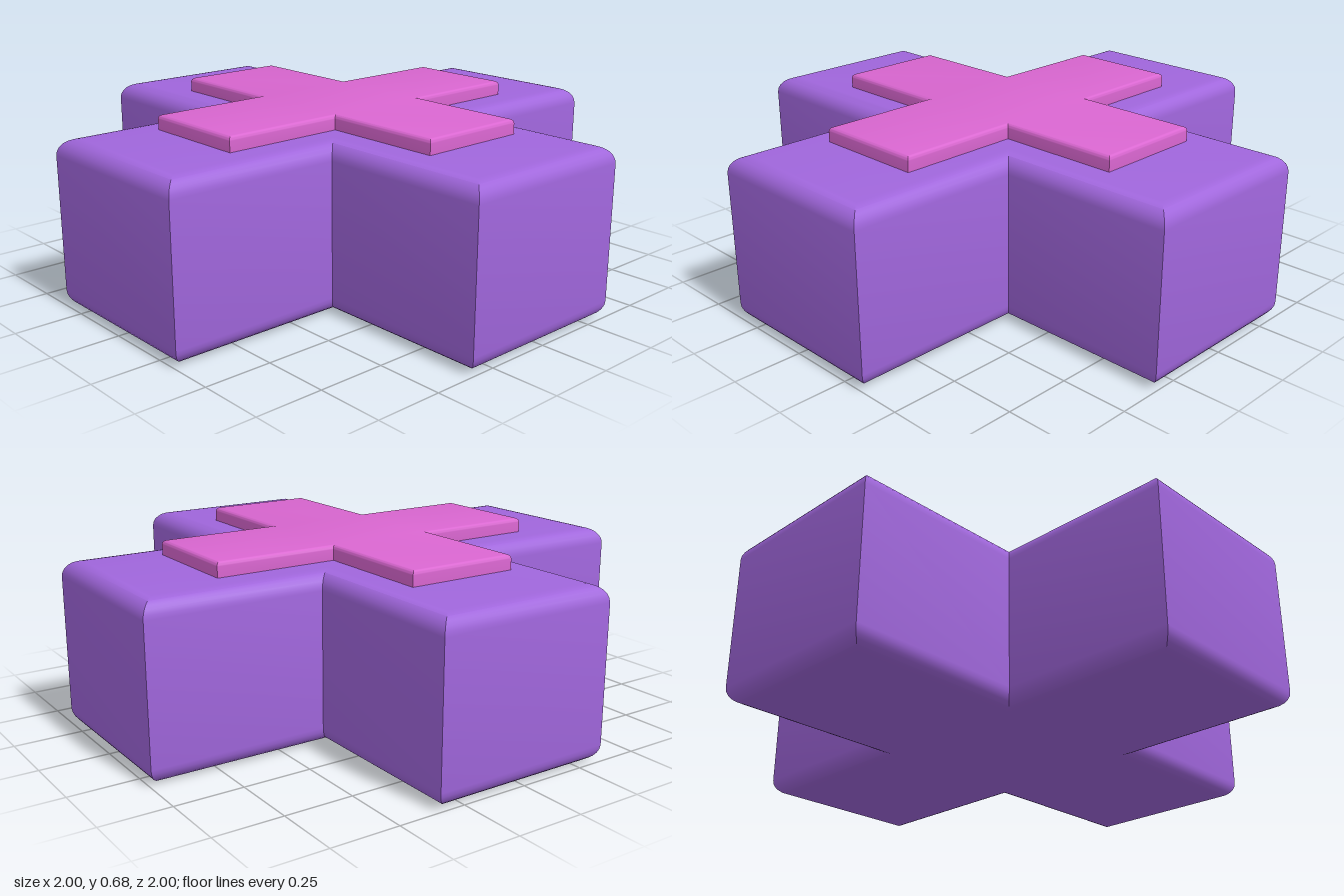
import * as THREE from 'three';
import { toCreasedNormals } from 'three/addons/utils/BufferGeometryUtils.js';

// Plus-shaped slab with rounded top and bottom rims, standing between two heights
function crossSlab(name, reach, half, bottom, top, bevel, color) {
  const quarter = [[reach, -half], [reach, half], [half, half]];
  const points = [];
  for (let i = 0; i < 4; i++) {
    for (const [x, y] of quarter) {
      points.push(new THREE.Vector2(x, y).rotateAround(new THREE.Vector2(), i * Math.PI / 2));
    }
  }
  const geometry = new THREE.ExtrudeGeometry(new THREE.Shape(points), {
    depth: top - bottom - 2 * bevel,
    bevelEnabled: true,
    bevelSize: bevel,
    bevelOffset: -bevel,
    bevelThickness: bevel,
    bevelSegments: 6,
  });
  geometry.rotateX(-Math.PI / 2);
  geometry.translate(0, bottom + bevel, 0);
  const mesh = new THREE.Mesh(
    toCreasedNormals(geometry, 0.6),
    new THREE.MeshStandardMaterial({ color })
  );
  mesh.name = name;
  return mesh;
}

export function createModel() {
  const model = new THREE.Group();
  model.name = 'crossButton';
  // Thick base and the thin raised inlay set into its top
  model.add(crossSlab('base', 1, 0.345, 0, 0.62, 0.062, 0xa066dc));
  model.add(crossSlab('inlay', 0.67, 0.21, 0.57, 0.675, 0.016, 0xd966d0));
  return model;
}
